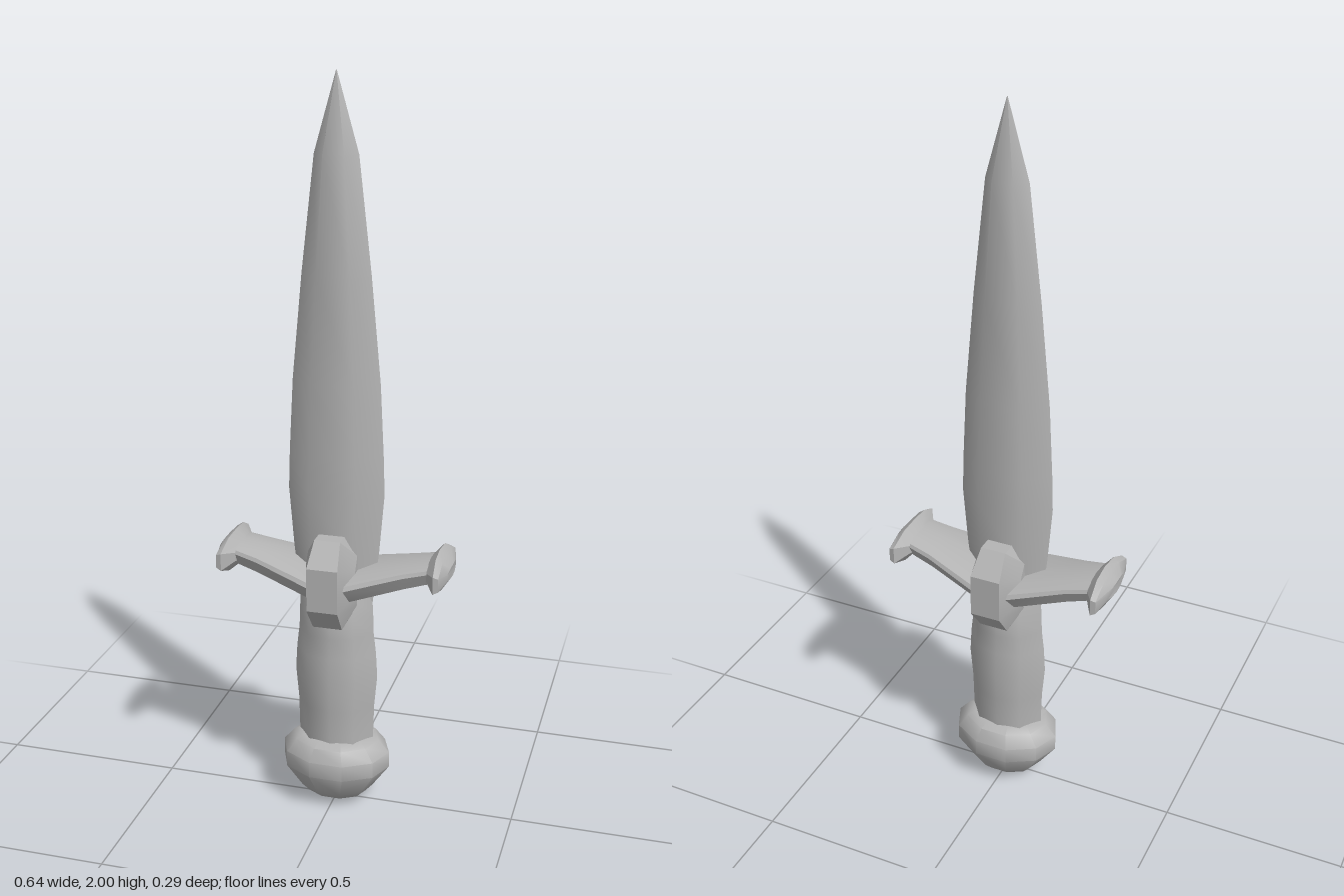
import * as THREE from 'three';
import { toCreasedNormals } from 'three/addons/utils/BufferGeometryUtils.js';

// Skin a list of equal-length rings of [x, y, z] points and close both ends.
function loft(rings, crease = 0.85) {
  const n = rings[0].length;
  const pos = rings.flat(2);
  const idx = [];
  for (let r = 0; r < rings.length - 1; r++) {
    for (let i = 0; i < n; i++) {
      const j = (i + 1) % n;
      const a = r * n + i, b = r * n + j, c = a + n, d = b + n;
      idx.push(a, b, d, a, d, c);
    }
  }
  [0, rings.length - 1].forEach((r, end) => {
    const centre = pos.length / 3;
    for (let k = 0; k < 3; k++) pos.push(rings[r].reduce((s, p) => s + p[k], 0) / n);
    for (let i = 0; i < n; i++) {
      const a = r * n + i, b = r * n + (i + 1) % n;
      if (end) idx.push(centre, a, b);
      else idx.push(centre, b, a);
    }
  });
  // Turn the faces outward whichever way the rings run
  let volume = 0;
  const v = (i) => new THREE.Vector3(pos[i * 3], pos[i * 3 + 1], pos[i * 3 + 2]);
  for (let i = 0; i < idx.length; i += 3) {
    volume += v(idx[i]).dot(v(idx[i + 1]).cross(v(idx[i + 2])));
  }
  if (volume < 0) idx.reverse();
  const geo = new THREE.BufferGeometry();
  geo.setAttribute('position', new THREE.Float32BufferAttribute(pos, 3));
  geo.setIndex(idx);
  return toCreasedNormals(geo, crease);
}

// Rings stacked in y: levels are [y, half width, half depth], section is in unit x, z.
const stack = (levels, section) =>
  levels.map(([y, w, d]) => section.map(([x, z]) => [x * w, y, z * d]));

export function createModel() {
  const group = new THREE.Group();
  const steel = new THREE.MeshStandardMaterial({ color: 0xb4b4b4 });
  steel.name = 'grey steel';
  const add = (name, geo) => {
    const mesh = new THREE.Mesh(geo, steel);
    mesh.name = name;
    group.add(mesh);
  };

  // Blade: six-sided section with sharp left and right edges
  const bladeSection = [[1, 0], [0.48, 1], [-0.48, 1], [-1, 0], [-0.48, -1], [0.48, -1]];
  add('blade', loft(stack([
    [0.6, 0.1, 0.04], [0.76, 0.118, 0.048], [0.92, 0.131, 0.048], [1.02, 0.128, 0.047],
    [1.22, 0.118, 0.044], [1.5, 0.092, 0.038], [1.8, 0.058, 0.03], [2.0, 0.001, 0.001],
  ], bladeSection)));

  // Grip: swelling lens-shaped handle
  const gripSection = [[1, 0], [0.6, 0.8], [0, 1], [-0.6, 0.8], [-1, 0], [-0.6, -0.8], [0, -1], [0.6, -0.8]];
  add('grip', loft(stack([
    [0.15, 0.105, 0.07], [0.22, 0.106, 0.071], [0.3, 0.108, 0.073], [0.39, 0.116, 0.08],
    [0.46, 0.112, 0.075], [0.52, 0.105, 0.073], [0.58, 0.103, 0.074], [0.63, 0.1, 0.058], [0.67, 0.098, 0.045],
  ], gripSection)));

  // Pommel: faceted oval knob
  const oval = Array.from({ length: 10 }, (_, i) => {
    const a = (i / 10) * Math.PI * 2;
    return [Math.cos(a), Math.sin(a)];
  });
  add('pommel', loft(stack([
    [0.005, 0.002, 0.002], [0.028, 0.085, 0.065], [0.05, 0.105, 0.085], [0.115, 0.152, 0.12],
    [0.16, 0.152, 0.12], [0.195, 0.122, 0.1], [0.205, 0.1, 0.07],
  ], oval), 0.7));

  // Guard block: bevelled octagon around the base of the blade
  const outer = [
    [0.09, 0.812, 0.035], [0.143, 0.75, 0.042], [0.143, 0.63, 0.042], [0.09, 0.562, 0.04],
    [-0.09, 0.562, 0.04], [-0.143, 0.63, 0.042], [-0.143, 0.75, 0.042], [-0.09, 0.812, 0.035],
  ];
  const block = (s) => outer.map(([z, y, x]) => [x * s, y, z]);
  const inner = (s) => outer.map(([z, y]) => [0.068 * s, 0.685 + (y - 0.687) * 0.58, z * 0.42]);
  add('guardBlock', loft([inner(-1), block(-1), block(1), inner(1)], 0.3));

  // Guard arms: flat rising bars, widest at mid height with an arched top
  const armSection = [
    [0, 1], [0.55, 0.9], [0.95, 0.55], [1, 0.2], [0.75, -1],
    [-0.75, -1], [-1, 0.2], [-0.95, 0.55], [-0.55, 0.9],
  ];
  const armLevels = [
    [0.0, 0.67, 0.035, 0.122], [0.05, 0.678, 0.036, 0.119],
    [0.2, 0.718, 0.031, 0.08], [0.262, 0.733, 0.028, 0.072],
  ];
  // Leaf-shaped tips: the rim bows outward in the middle
  const tipSection = [
    [0, 0.785], [0.06, 0.78], [0.115, 0.753], [0.115, 0.705], [0.06, 0.685],
    [0, 0.678], [-0.06, 0.685], [-0.115, 0.705], [-0.115, 0.753], [-0.06, 0.78],
  ];
  const tipRing = (s, x, bow, kz, ky) =>
    tipSection.map(([z, y]) => [s * (x + bow * (z / 0.115) ** 2), 0.733 + (y - 0.733) * ky, z * kz]);

  for (const [side, s] of [['left', 1], ['right', -1]]) {
    add(side + 'GuardArm', loft(armLevels.map(([x, y, h, w]) =>
      armSection.map(([z, t]) => [x * s, y + t * h, z * w])), 0.6));
    add(side + 'GuardTip', loft([
      tipRing(s, 0.258, 0.004, 0.62, 0.5),
      tipRing(s, 0.282, 0.006, 1, 1),
      tipRing(s, 0.3, 0.002, 0.98, 0.75),
      tipRing(s, 0.319, -0.004, 0.5, 0.3),
    ], 0.5));
  }
  return group;
}
